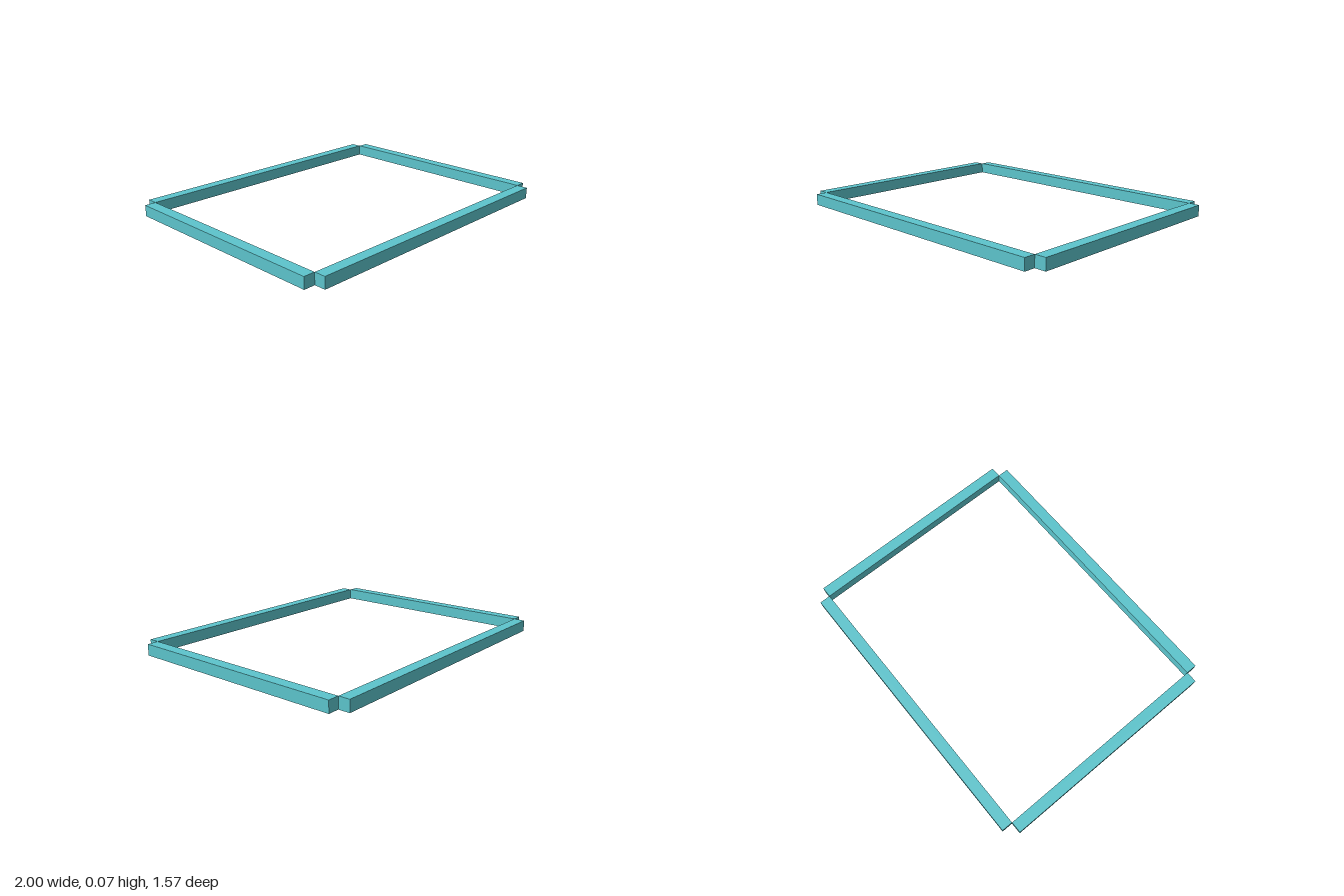
import * as THREE from 'three';

export function createModel() {
  const model = new THREE.Group();
  model.name = 'rectangularFrame';

  const teal = new THREE.MeshStandardMaterial({ color: 0x5cc4cc });
  teal.name = 'teal';

  const bar = 1 / 14;        // square section of every bar
  const halfX = 1;           // outer half width
  const halfZ = 11 / 14;     // outer half depth

  const addBar = (name, width, depth, x, z) => {
    const mesh = new THREE.Mesh(new THREE.BoxGeometry(width, bar, depth), teal);
    mesh.name = name;
    mesh.position.set(x, bar / 2, z);
    model.add(mesh);
  };

  // Four bars meeting edge to edge, leaving the corner squares open
  for (const side of [1, -1]) {
    addBar(side > 0 ? 'frontBar' : 'backBar', 2 * (halfX - bar), bar, 0, side * (halfZ - bar / 2));
    addBar(side > 0 ? 'leftBar' : 'rightBar', bar, 2 * (halfZ - bar), side * (halfX - bar / 2), 0);
  }

  return model;
}
